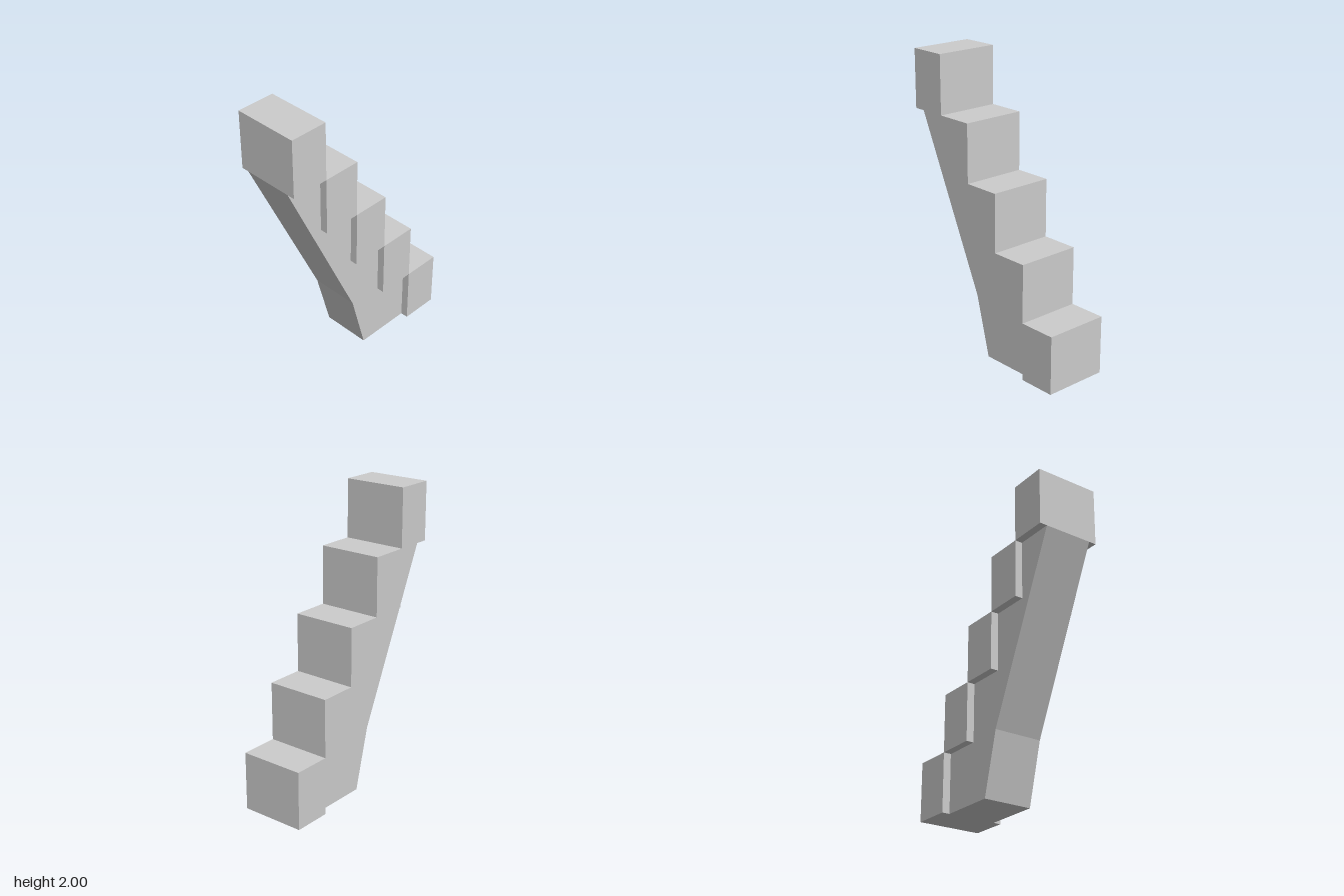
import * as THREE from 'three';

const STEPS = 5;
const RISE = 0.4;
const RUN = 0.2613;
const BACK = -0.653;
const STEP_WIDTH = 0.446;
const SUPPORT_WIDTH = 0.34;

export function createModel() {
  const group = new THREE.Group();
  group.name = 'staircase';
  const material = new THREE.MeshStandardMaterial({ color: 0xcccccc, flatShading: true });

  // Block steps climbing towards the front
  for (let i = 0; i < STEPS; i++) {
    const step = new THREE.Mesh(new THREE.BoxGeometry(STEP_WIDTH, RISE, RUN), material);
    step.name = `step${i + 1}`;
    step.position.set(0, (i + 0.5) * RISE, BACK + (i + 0.5) * RUN);
    group.add(step);
  }

  // Narrower support: side profile (z, y) with a bent front and a stepped back
  const profile = new THREE.Shape();
  profile.moveTo(0, 0);
  profile.lineTo(0.11, 0.415);
  profile.lineTo(BACK + STEPS * RUN, (STEPS - 1) * RISE);
  for (let i = STEPS - 2; i >= 0; i--) {
    const z = BACK + (i + 1) * RUN;
    profile.lineTo(z, (i + 1) * RISE);
    profile.lineTo(z, i * RISE);
  }
  profile.closePath();
  const geometry = new THREE.ExtrudeGeometry(profile, { depth: SUPPORT_WIDTH, bevelEnabled: false });
  geometry.translate(0, 0, -SUPPORT_WIDTH / 2);
  geometry.rotateY(-Math.PI / 2);
  const support = new THREE.Mesh(geometry, material);
  support.name = 'support';
  group.add(support);

  return group;
}
